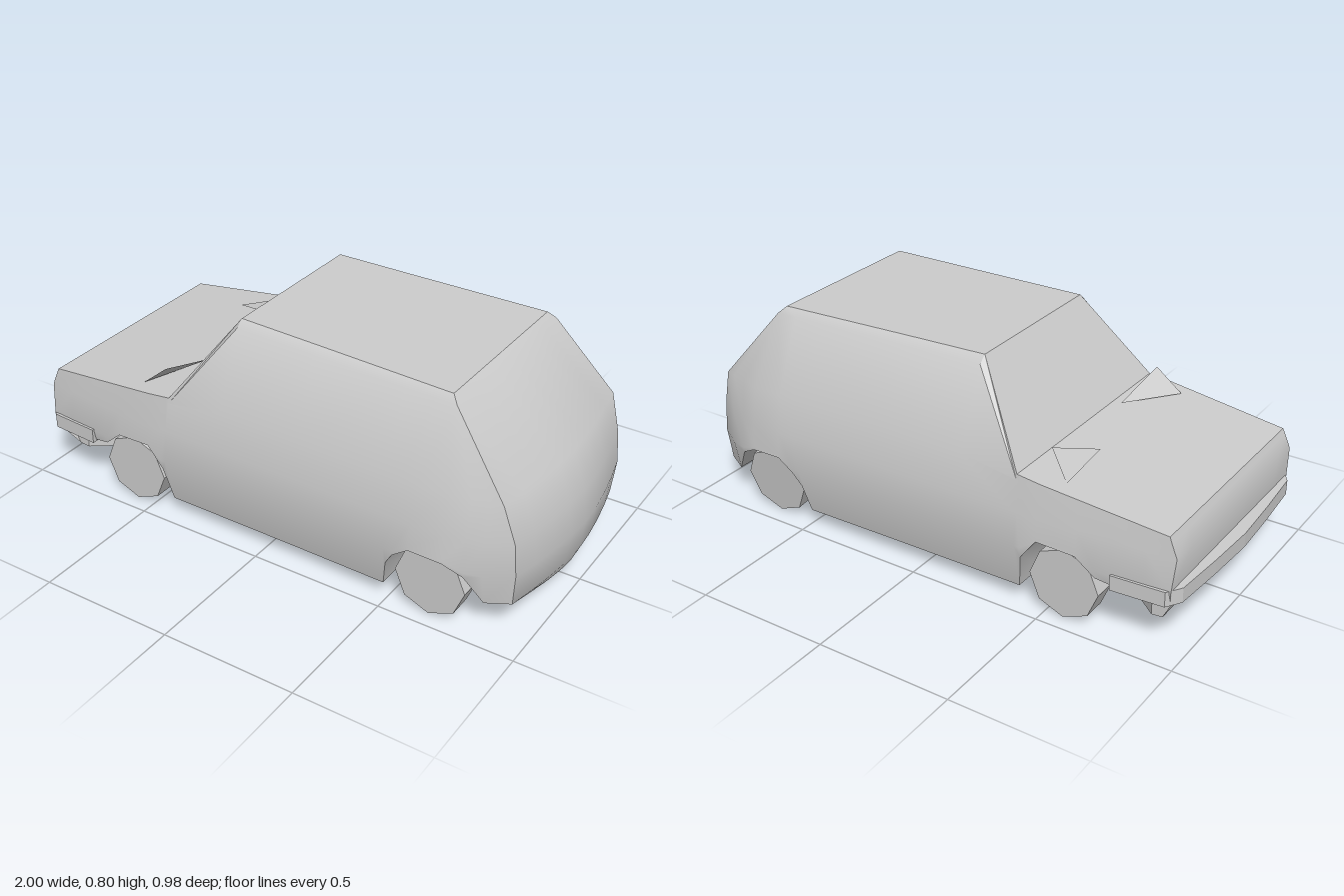
import * as THREE from 'three';
import { toCreasedNormals } from 'three/addons/utils/BufferGeometryUtils.js';

const paint = new THREE.MeshStandardMaterial({ color: 0xcccccc, side: THREE.DoubleSide });
paint.name = 'plain grey';

// piecewise linear lookup in a list of [key, value] pairs
function lerpTable(table, k) {
  if (k <= table[0][0]) return table[0][1];
  for (let i = 1; i < table.length; i++) {
    const [k0, v0] = table[i - 1], [k1, v1] = table[i];
    if (k <= k1) return v0 + (v1 - v0) * (k - k0) / (k1 - k0);
  }
  return table[table.length - 1][1];
}

// surface through rows of points, leaving out collapsed triangles
function grid(rows, flip = false) {
  const pos = [];
  const tri = (a, b, c) => {
    const area = b.clone().sub(a).cross(c.clone().sub(a)).length();
    if (area > 1e-7) for (const p of flip ? [a, c, b] : [a, b, c]) pos.push(p.x, p.y, p.z);
  };
  for (let r = 0; r + 1 < rows.length; r++) {
    for (let c = 0; c + 1 < rows[r].length; c++) {
      const a = rows[r][c], b = rows[r + 1][c], d = rows[r + 1][c + 1], e = rows[r][c + 1];
      tri(a, b, d);
      tri(a, d, e);
    }
  }
  const g = new THREE.BufferGeometry();
  g.setAttribute('position', new THREE.Float32BufferAttribute(pos, 3));
  return toCreasedNormals(g, 0.5);
}

const V = (x, y, z) => new THREE.Vector3(x, y, z);

// body outlines: half width along x and its scale by height
const widthX = [[-0.97, 0.435], [-0.95, 0.445], [-0.48, 0.48], [0.1, 0.485], [0.7, 0.495], [0.9, 0.44], [0.95, 0.385]];
const widthY = [[0.065, 0.92], [0.24, 1], [0.36, 0.975], [0.5, 0.93], [0.77, 0.7], [0.8, 0.63]];
const topLine = [[-0.93, 0.43], [-0.39, 0.49], [-0.17, 0.8], [0.65, 0.785]];
const frontLine = [[0.19, -0.95], [0.36, -0.96], [0.43, -0.93]];
const rearLine = [[0.065, 0.91], [0.12, 0.93], [0.24, 0.94], [0.36, 0.93], [0.5, 0.89], [0.76, 0.68], [0.785, 0.655]];
const rearBulge = [[0.065, 0.05], [0.22, 0.06], [0.5, 0.045], [0.76, 0.01], [0.785, 0]];

// stations along the body with the height of the sill or wheel arch
const stations = [
  [-1, 0.19], [-0.86, 0.19], [-0.745, 0.2], [-0.69, 0.21], [-0.62, 0.27], [-0.48, 0.28], [-0.42, 0.2],
  [-0.4, 0.065], [-0.39, 0.065], [-0.17, 0.065], [0.14, 0.065], [0.49, 0.065], [0.51, 0.17], [0.54, 0.22],
  [0.6, 0.265], [0.72, 0.26], [0.79, 0.22], [0.85, 0.12], [1, 0.12],
];

function sidePoint(x, y) {
  const px = Math.min(Math.max(x, lerpTable(frontLine, y)), lerpTable(rearLine, y));
  return V(px, y, lerpTable(widthX, px) * lerpTable(widthY, y));
}

const mirror = (p) => V(p.x, p.y, -p.z);

export function createModel() {
  const car = new THREE.Group();
  car.name = 'hatchbackCar';
  const add = (name, geometry) => {
    const mesh = new THREE.Mesh(geometry, paint);
    mesh.name = name;
    car.add(mesh);
    return mesh;
  };

  // side panels
  const columns = stations.map(([x, sill]) => {
    const top = lerpTable(topLine, x);
    const shoulder = Math.min(0.5, top - 0.02);
    const gutter = Math.max(shoulder, top - 0.025);
    return [sill, Math.max(sill + 0.01, 0.24), 0.36, shoulder, gutter, top].map((y) => sidePoint(x, y));
  });
  add('leftSide', grid(columns));
  add('rightSide', grid(columns.map((c) => c.map(mirror)), true));

  // bonnet, windscreen and roof
  const topRows = columns.map((c) => [c[5], mirror(c[5])]);
  const screenBase = stations.findIndex((s) => s[0] === -0.39);
  add('bonnet', grid(topRows.slice(0, screenBase + 1)));
  add('windscreen', grid(topRows.slice(screenBase, screenBase + 2)));
  add('roof', grid(topRows.slice(screenBase + 1)));

  // floor with wheel wells
  const floorRows = stations.map(([x, sill], i) => {
    const p = columns[i][0];
    const inner = x < -0.75 ? 0.38 : 0.28;
    const fx = i === 0 ? -0.9 : Math.min(p.x, 0.91);
    const fy = lerpTable([[-0.9, 0.095], [-0.7, 0.08], [-0.4, 0.065]], x);
    const half = [V(p.x, sill, p.z), V(p.x, sill, inner), V(fx, fy, inner)];
    return [...half.map(mirror), ...half.reverse()];
  });
  add('floor', grid(floorRows));

  // nose and tail faces, bowed outward across the width
  const across = (p, bulge) => {
    const row = [];
    for (let i = 0; i <= 8; i++) {
      const t = -1 + i / 4;
      row.push(V(p.x + bulge * (1 - Math.abs(t) ** 1.6), p.y, p.z * t));
    }
    return row;
  };
  const nose = [V(-0.9, 0.095, 0.38), ...columns[0]];
  add('nose', grid(nose.map((p) => across(p, 0)), true));
  const tail = [V(0.91, 0.065, 0.28), ...columns[columns.length - 1]];
  add('tailgate', grid(tail.map((p) => across(p, lerpTable(rearBulge, p.y)))));

  // wraparound front bumper
  const outer = [[-0.75, 0.468], [-0.94, 0.455], [-0.975, 0.4], [-0.99, 0.2]];
  const bumper = new THREE.Shape();
  bumper.moveTo(-0.75, 0.44);
  outer.forEach(([x, z]) => bumper.lineTo(x, z));
  bumper.lineTo(-1, 0);
  [...outer].reverse().forEach(([x, z]) => bumper.lineTo(x, -z));
  bumper.lineTo(-0.75, -0.44);
  bumper.lineTo(-0.93, -0.42);
  bumper.lineTo(-0.93, 0.42);
  const bumperGeo = new THREE.ExtrudeGeometry(bumper, { depth: 0.055, bevelEnabled: false });
  bumperGeo.rotateX(Math.PI / 2).translate(0, 0.247, 0);
  add('frontBumper', bumperGeo);

  // small folded flaps on the bonnet
  add('rightFlap', grid([[V(-0.54, 0.475, -0.39), V(-0.54, 0.475, -0.39)], [V(-0.4, 0.5, -0.25), V(-0.56, 0.525, -0.21)]]));
  add('leftFlap', grid([[V(-0.43, 0.5, 0.16), V(-0.43, 0.5, 0.16)], [V(-0.55, 0.475, 0.39), V(-0.45, 0.557, 0.385)]]));

  // eight-sided wheels, one leaning a little
  const wheelGeo = toCreasedNormals(new THREE.CylinderGeometry(0.13, 0.13, 0.09, 8).rotateX(Math.PI / 2), 0.3);
  for (const [end, x] of [['front', -0.57], ['rear', 0.66]]) {
    for (const [side, s] of [['Left', 1], ['Right', -1]]) {
      const wheel = add(end + side + 'Wheel', wheelGeo);
      wheel.position.set(x, 0.136, s * 0.4);
      if (end === 'rear' && s < 0) wheel.rotation.x = -0.12;
    }
  }
  return car;
}
